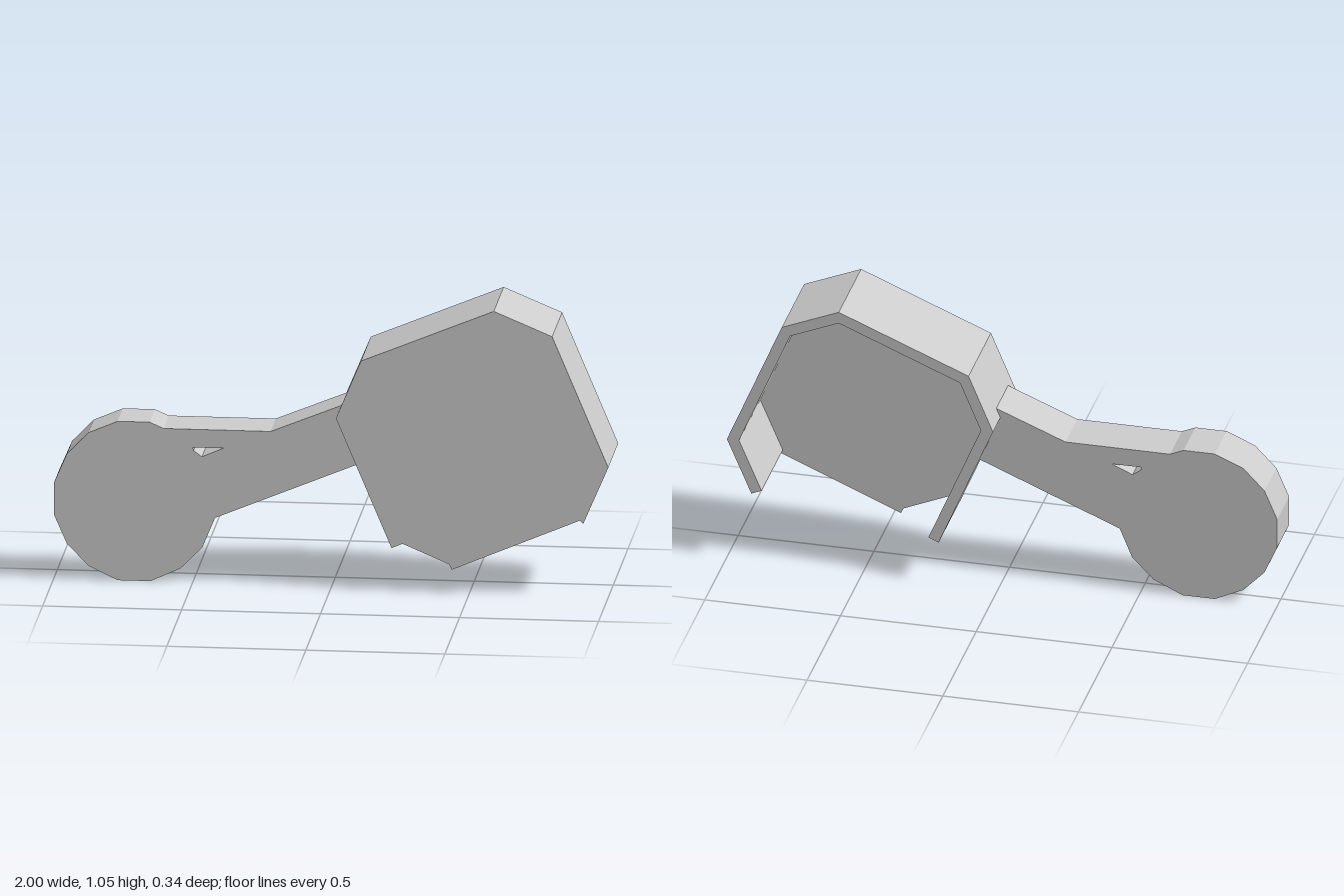
import * as THREE from 'three';

const grey = new THREE.MeshStandardMaterial({ color: 0xcccccc });
grey.name = 'light grey';

const toPoints = (list) => list.map(([x, y]) => new THREE.Vector2(x, y));

// Extrudes a flat outline between two depths.
function slab(name, points, z0, z1, holes = []) {
  const shape = new THREE.Shape(points);
  holes.forEach((h) => shape.holes.push(new THREE.Path(h)));
  const geometry = new THREE.ExtrudeGeometry(shape, { depth: z1 - z0, bevelEnabled: false });
  geometry.translate(0, 0, z0);
  const mesh = new THREE.Mesh(geometry, grey);
  mesh.name = name;
  return mesh;
}

// Offsets an open line to its right, with mitred corners.
function offsetLine(points, d) {
  const normals = points.slice(1).map((p, i) => {
    const t = p.clone().sub(points[i]).normalize();
    return new THREE.Vector2(t.y, -t.x);
  });
  return points.map((p, i) => {
    const a = normals[Math.max(i - 1, 0)];
    const b = normals[Math.min(i, normals.length - 1)];
    return p.clone().addScaledVector(a.clone().add(b), d / (1 + a.dot(b)));
  });
}

export function createModel() {
  const group = new THREE.Group();
  group.name = 'housingWithArm';

  // Octagonal housing, open at the back and along its lower edge
  const rim = toPoints([
    [0.22, 0.16], [0.02, 0.635], [0.11, 0.85], [0.588, 1.048],
    [0.798, 0.96], [1, 0.48], [0.91, 0.27],
  ]);
  const inner = offsetLine(rim, 0.041).reverse();
  group.add(slab('housingWall', [...rim, ...inner], -0.168, 0.149));

  // Front plate, reaching past the wall at the lower edge
  const lowerEdge = toPoints([[0.897, 0.281], [0.437, 0.086], [0.427, 0.106], [0.26, 0.177]]);
  group.add(slab('housingFrontPlate', [...rim, ...lowerEdge], 0.149, 0.168));

  // Flat arm with a faceted round end and a small triangular hole
  const arm = toPoints([
    [0.038, 0.672], [-0.22, 0.567], [-0.605, 0.567], [-0.655, 0.589], [-0.77, 0.589],
    [-0.875, 0.544], [-0.953, 0.463], [-1, 0.353], [-1, 0.238], [-0.953, 0.131],
    [-0.875, 0.05], [-0.77, 0], [-0.652, 0], [-0.544, 0.05], [-0.465, 0.131],
    [-0.42, 0.241], [0.115, 0.463],
  ]);
  const hole = toPoints([[-0.5, 0.5], [-0.39, 0.5], [-0.467, 0.466], [-0.497, 0.488]]);
  group.add(slab('arm', arm, -0.057, 0.121, [hole]));

  return group;
}
